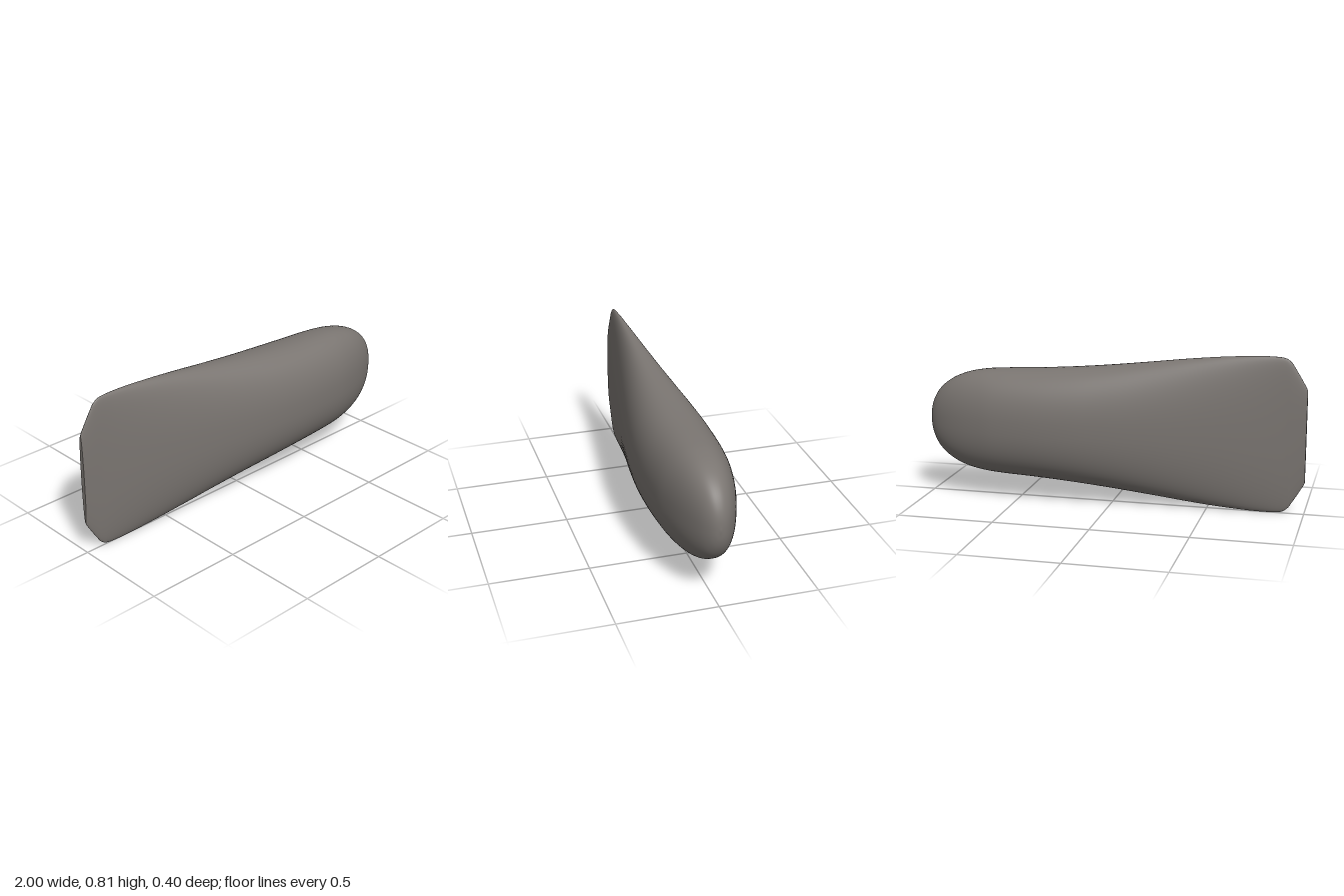
import * as THREE from 'three';

const CENTER_Y = 0.405;
const SIDES = 64;
const RINGS = 90;
const POWER = 2 / 2.28; // slightly squared ellipse

// Stations along the body: x, half height, half depth
const STATIONS = [
  [-0.92, 0.375, 0.021], [-0.89, 0.397, 0.025], [-0.8, 0.405, 0.039], [-0.6, 0.395, 0.073],
  [-0.4, 0.375, 0.107], [-0.2, 0.35, 0.141], [0, 0.326, 0.172], [0.2, 0.306, 0.194],
  [0.4, 0.291, 0.2], [0.6, 0.281, 0.188], [0.7, 0.272, 0.171], [0.8, 0.25, 0.145],
  [0.88, 0.214, 0.115], [0.94, 0.165, 0.083], [0.975, 0.112, 0.054], [0.993, 0.06, 0.028], [1, 0, 0],
];

const bend = (v) => Math.sign(v) * Math.pow(Math.abs(v), POWER);

function ring([x, h, d]) {
  const points = [];
  for (let i = 0; i < SIDES; i++) {
    const t = (i / SIDES) * Math.PI * 2;
    points.push(x, CENTER_Y + h * bend(Math.cos(t)), d * bend(Math.sin(t)));
  }
  return points;
}

function build(positions, index) {
  const geometry = new THREE.BufferGeometry();
  geometry.setAttribute('position', new THREE.Float32BufferAttribute(positions, 3));
  geometry.setIndex(index);
  geometry.computeVertexNormals();
  return geometry;
}

// Skin lofted from the tail edge to the rounded nose
function loft(sections) {
  const positions = [];
  const index = [];
  sections.forEach((s) => positions.push(...ring(s)));
  for (let r = 0; r < sections.length - 1; r++) {
    for (let i = 0; i < SIDES; i++) {
      const a = r * SIDES + i;
      const b = r * SIDES + ((i + 1) % SIDES);
      // the last ring closes to one point at the nose
      if (r === sections.length - 2) index.push(a, b, (r + 1) * SIDES);
      else index.push(a, b, a + SIDES, b, b + SIDES, a + SIDES);
    }
  }
  return build(positions, index);
}

// Flat face closing the tail
function cap(section) {
  const positions = [...ring(section), section[0], CENTER_Y, 0];
  const index = [];
  for (let i = 0; i < SIDES; i++) index.push(SIDES, (i + 1) % SIDES, i);
  return build(positions, index);
}

export function createModel() {
  const group = new THREE.Group();
  group.name = 'taperedFin';
  const grey = new THREE.MeshStandardMaterial({ color: 0x7a7571 });
  grey.name = 'warm grey';

  const curve = new THREE.CatmullRomCurve3(STATIONS.map((s) => new THREE.Vector3(...s)));
  const tail = [-1, 0.238, 0.012];
  const sections = [tail, [-0.993, 0.255, 0.0125], [-0.96, 0.311, 0.016],
    ...curve.getPoints(RINGS).map((p) => p.toArray())];

  const body = new THREE.Mesh(loft(sections), grey);
  body.name = 'body';
  const tailEdge = new THREE.Mesh(cap(tail), grey);
  tailEdge.name = 'tailEdge';
  group.add(body, tailEdge);
  return group;
}
